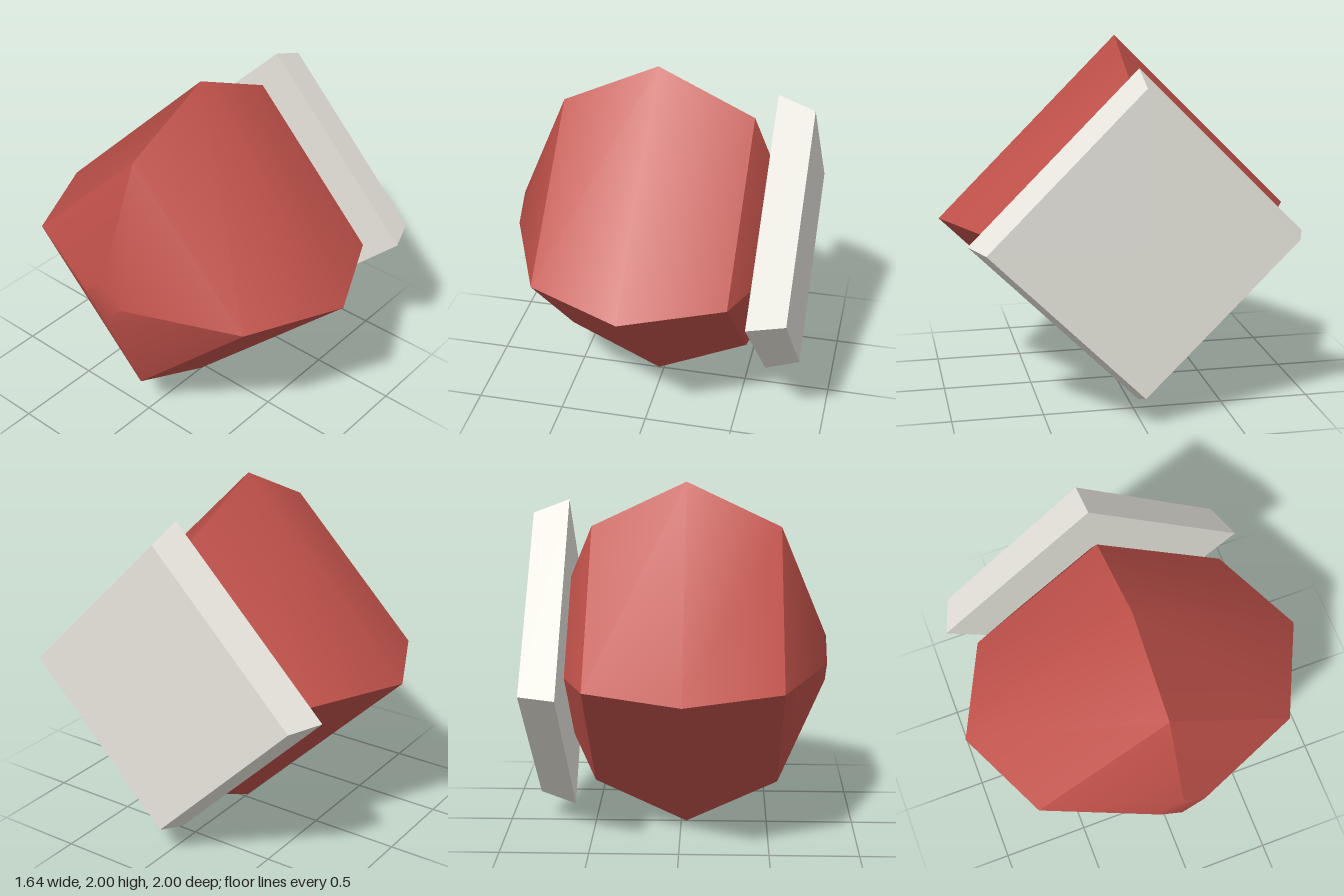
import * as THREE from 'three';
import { toCreasedNormals } from 'three/addons/utils/BufferGeometryUtils.js';

export function createModel() {
  const model = new THREE.Group();
  model.name = 'gem';
  const red = new THREE.MeshStandardMaterial({ color: 0xc0514a });
  red.name = 'red';
  const ivory = new THREE.MeshStandardMaterial({ color: 0xe8e6de });
  ivory.name = 'ivory';

  // Adds a four-sided solid turned about the x axis; profile is [x, radius].
  function addDiamondSolid(name, profile, material) {
    const points = profile.map(([x, r]) => new THREE.Vector2(r, x));
    const geometry = new THREE.LatheGeometry(points, 4).rotateZ(-Math.PI / 2);
    const mesh = new THREE.Mesh(toCreasedNormals(geometry, 0.685), material);
    mesh.name = name;
    mesh.position.y = 1;
    model.add(mesh);
  }

  // Faceted body, blunt at both ends
  addDiamondSolid('body', [
    [-0.82, 0], [-0.82, 0.13], [-0.56, 0.75], [-0.03, 1],
    [0.5, 0.75], [0.76, 0.13], [0.76, 0],
  ], red);

  // Tapered plate on the right-hand end
  addDiamondSolid('endPlate', [
    [0.62, 0], [0.62, 0.9], [0.82, 0.825], [0.82, 0],
  ], ivory);

  return model;
}
